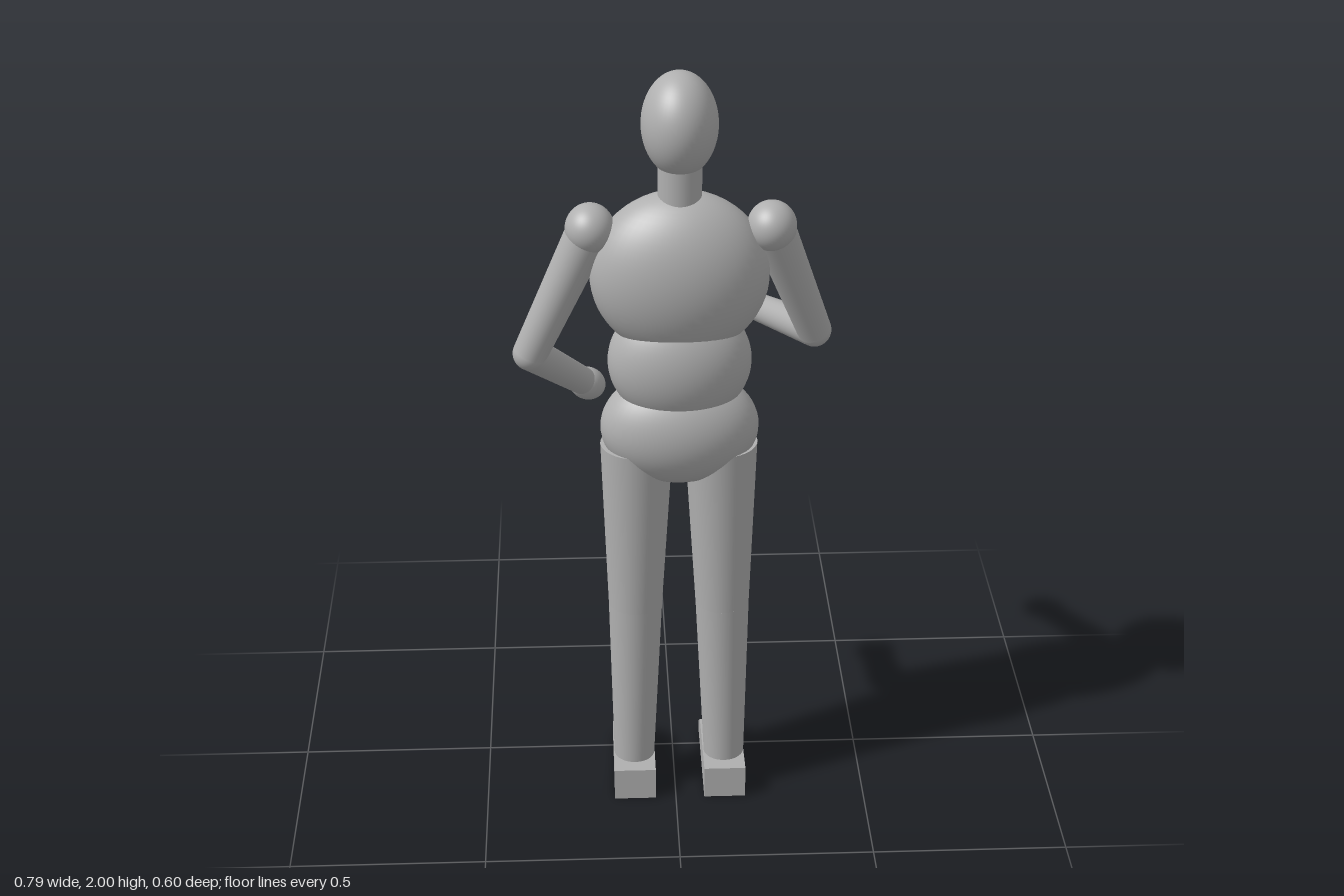
import * as THREE from 'three';

export function createModel() {
  const model = new THREE.Group();
  model.name = 'mannequin';
  const grey = new THREE.MeshStandardMaterial({ color: 0xb0b0b0 });
  grey.name = 'plain grey';
  const vec = (p) => new THREE.Vector3(...p);

  function add(name, geometry, parent = model) {
    const mesh = new THREE.Mesh(geometry, grey);
    mesh.name = name;
    parent.add(mesh);
    return mesh;
  }

  function ellipsoid(name, centre, radii, parent) {
    const mesh = add(name, new THREE.SphereGeometry(1, 48, 32), parent);
    mesh.position.set(...centre);
    mesh.scale.set(...radii);
    return mesh;
  }

  // Tapered cylinder running from point a to point b
  function limb(name, a, b, ra, rb, parent) {
    const from = vec(a), dir = vec(b).sub(from);
    const mesh = add(name, new THREE.CylinderGeometry(rb, ra, dir.length(), 40), parent);
    mesh.position.copy(from).addScaledVector(dir, 0.5);
    mesh.quaternion.setFromUnitVectors(new THREE.Vector3(0, 1, 0), dir.normalize());
    return mesh;
  }

  // Head and torso: overlapping ellipsoids
  ellipsoid('head', [0.011, 1.873, 0.152], [0.092, 0.127, 0.111]);
  limb('neck', [0.011, 1.64, 0.166], [0.011, 1.8, 0.166], 0.053, 0.053);
  ellipsoid('chest', [0.011, 1.495, 0.164], [0.218, 0.212, 0.137]);
  ellipsoid('waist', [0.011, 1.266, 0.169], [0.177, 0.165, 0.122]);
  ellipsoid('hips', [0.011, 1.085, 0.169], [0.197, 0.15, 0.126]);

  // Arms, each with its own pose
  const arms = [
    { side: 'left', shoulder: [0.232, 1.615, 0.163], elbow: [0.352, 1.285, 0.054], hand: [0.206, 1.221, -0.248] },
    { side: 'right', shoulder: [-0.204, 1.615, 0.163], elbow: [-0.355, 1.28, 0.15], hand: [-0.216, 1.075, -0.087] },
  ];
  for (const { side, shoulder, elbow, hand } of arms) {
    const arm = new THREE.Group();
    arm.name = side + 'Arm';
    model.add(arm);
    ellipsoid('shoulder', shoulder, [0.06, 0.062, 0.064], arm);
    limb('upperArm', shoulder, elbow, 0.054, 0.043, arm);
    ellipsoid('elbow', elbow, [0.043, 0.043, 0.043], arm);
    limb('forearm', elbow, hand, 0.043, 0.035, arm);
    const palm = ellipsoid('hand', hand, [0.045, 0.042, 0.056], arm);
    // Hand points along the forearm
    palm.quaternion.setFromUnitVectors(new THREE.Vector3(0, 0, -1), vec(hand).sub(vec(elbow)).normalize());
  }

  // Side profile of a foot: heel at the back, toe sloping down
  const profile = new THREE.Shape([
    [0.245, 0], [0.245, 0.09], [0, 0.08], [-0.058, 0.036], [-0.058, 0],
  ].map(([z, y]) => new THREE.Vector2(-z, y)));
  const footWidth = 0.109;

  // Legs and feet
  const legs = [
    { side: 'left', hip: [0.115, 1.035, 0.166], knee: [0.122, 0.57, 0.167], ankle: [0.13, 0.1, 0.168] },
    { side: 'right', hip: [-0.096, 1.035, 0.166], knee: [-0.102, 0.57, 0.167], ankle: [-0.108, 0.1, 0.168] },
  ];
  for (const { side, hip, knee, ankle } of legs) {
    const leg = new THREE.Group();
    leg.name = side + 'Leg';
    model.add(leg);
    limb('thigh', hip, knee, 0.091, 0.069, leg);
    limb('shin', knee, ankle, 0.069, 0.053, leg);
    const geometry = new THREE.ExtrudeGeometry(profile, { depth: footWidth, bevelEnabled: false });
    geometry.translate(0, 0, -footWidth / 2);
    geometry.rotateY(Math.PI / 2);
    add('foot', geometry, leg).position.x = ankle[0];
  }
  return model;
}
